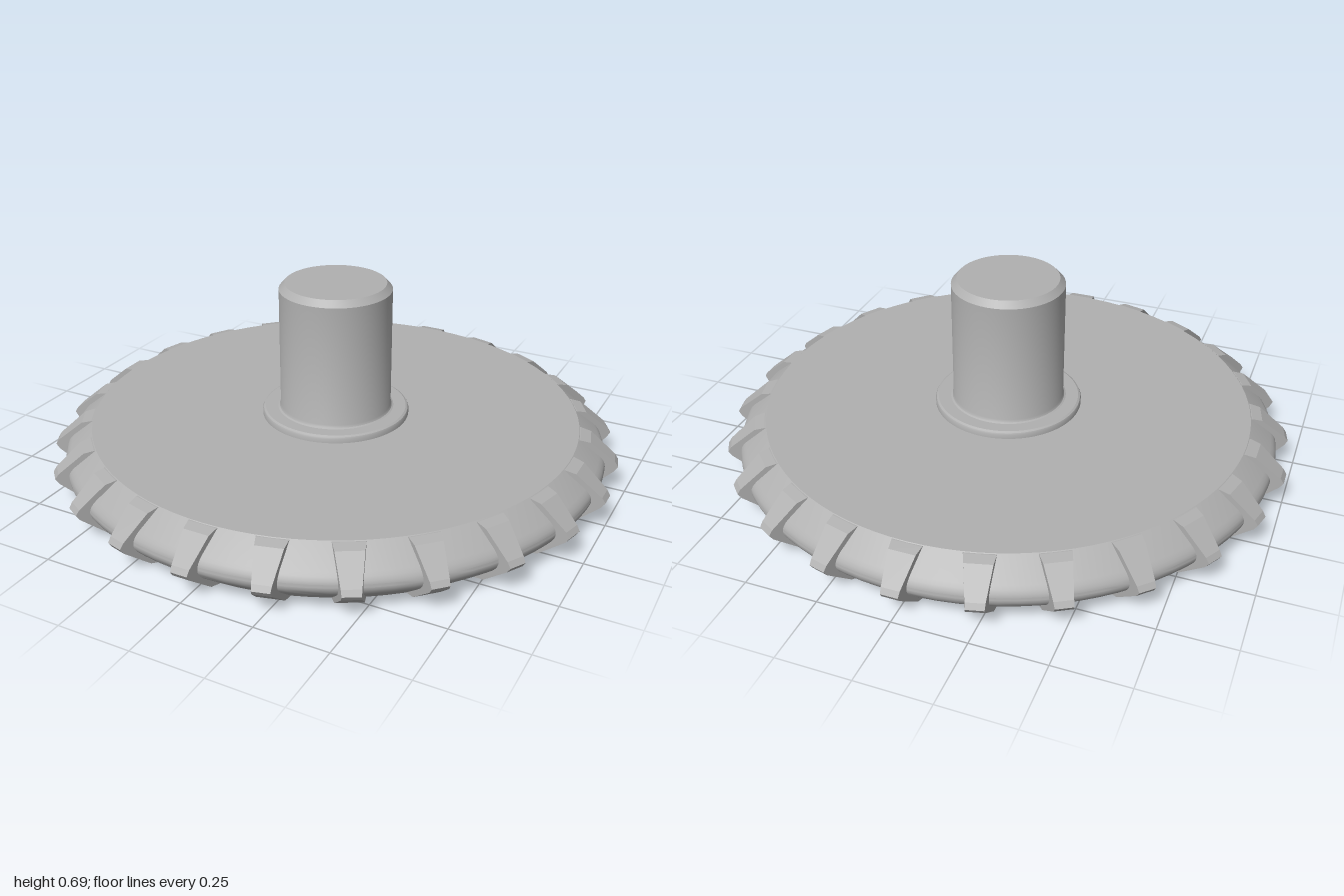
import * as THREE from 'three';
import { toCreasedNormals } from 'three/addons/utils/BufferGeometryUtils.js';

const TEETH = 24;
const steel = new THREE.MeshStandardMaterial({ color: 0xb0b0b0 });
steel.name = 'steel grey';

// Turned part from [radius, height] points, listed bottom to top
function turned(name, profile) {
  const points = profile.map(([r, y]) => new THREE.Vector2(r, y));
  const mesh = new THREE.Mesh(toCreasedNormals(new THREE.LatheGeometry(points, 96), 0.5), steel);
  mesh.name = name;
  return mesh;
}

// Tooth: radial section given thickness, narrowing towards the tip
function toothGeometry() {
  const section = new THREE.Shape([
    [0.8, 0.002], [0.865, 0.002], [0.9, 0.01], [0.988, 0.082], [1, 0.1],
    [0.988, 0.118], [0.9, 0.19], [0.865, 0.198], [0.8, 0.198],
  ].map(([r, y]) => new THREE.Vector2(r, y)));
  const geometry = new THREE.ExtrudeGeometry(section, { depth: 2, bevelEnabled: false });
  geometry.translate(0, 0, -1);
  const p = geometry.attributes.position;
  for (let i = 0; i < p.count; i++) {
    const halfWidth = 0.029 + (1 - p.getX(i)) * 0.16;
    p.setZ(i, p.getZ(i) * halfWidth);
  }
  geometry.computeVertexNormals();
  return geometry;
}

export function createModel() {
  const model = new THREE.Group();
  model.name = 'gear';

  // Disc with a rounded, double-bevelled rim
  const rim = new THREE.QuadraticBezierCurve(
    new THREE.Vector2(0.934, 0.06), new THREE.Vector2(0.978, 0.1), new THREE.Vector2(0.934, 0.14),
  ).getPoints(8).map((v) => [v.x, v.y]);
  model.add(turned('disc', [[0, 0], [0.86, 0], ...rim, [0.86, 0.2], [0, 0.2]]));

  // Ring of teeth
  const teeth = new THREE.Group();
  teeth.name = 'teeth';
  const geometry = toothGeometry();
  for (let i = 0; i < TEETH; i++) {
    const tooth = new THREE.Mesh(geometry, steel);
    tooth.name = 'tooth';
    tooth.rotation.y = (i / TEETH) * Math.PI * 2;
    teeth.add(tooth);
  }
  model.add(teeth);

  // Collar with a softened top edge
  model.add(turned('collar', [
    [0.26, 0.195], [0.26, 0.215], [0.257, 0.221], [0.25, 0.225], [0.15, 0.225],
  ]));

  // Shaft with a small foot fillet and a chamfered end
  model.add(turned('shaft', [
    [0.208, 0.224], [0.2, 0.228], [0.196, 0.236], [0.196, 0.664], [0.176, 0.686], [0, 0.686],
  ]));

  return model;
}
